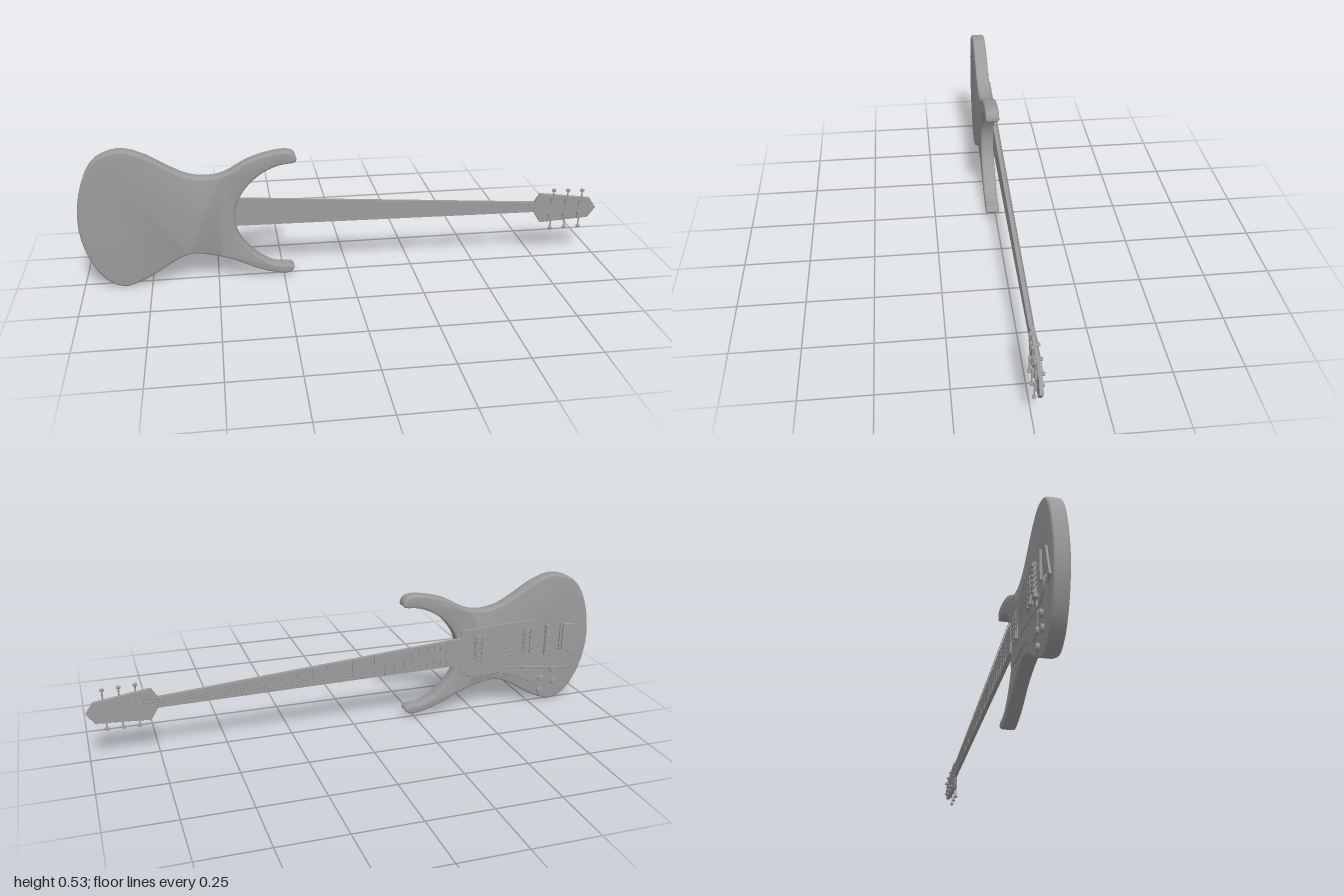
import * as THREE from 'three';
import { toCreasedNormals } from 'three/addons/utils/BufferGeometryUtils.js';

export function createModel() {
  const model = new THREE.Group();
  const grey = new THREE.MeshStandardMaterial({ color: 0x9c9c9c });
  grey.name = 'plain grey';

  const add = (name, geometry, x = 0, y = 0, z = 0, parent = model) => {
    const mesh = new THREE.Mesh(geometry, grey);
    mesh.name = name;
    mesh.position.set(x, y, z);
    parent.add(mesh);
    return mesh;
  };
  const smooth = (pts, n) => new THREE.CatmullRomCurve3(
    pts.map(([x, y]) => new THREE.Vector3(x, y, 0)), true).getPoints(n).slice(0, -1);
  // Slab with the given outline between two depths, its edges rounded inward
  const slab = (pts, z0, z1, bevel = 0, steps = 1) => {
    const shape = new THREE.Shape(pts.map(p => new THREE.Vector2(p.x ?? p[0], p.y ?? p[1])));
    const g = new THREE.ExtrudeGeometry(shape, {
      depth: z1 - z0 - 2 * bevel, bevelEnabled: bevel > 0, bevelSize: bevel,
      bevelThickness: bevel, bevelOffset: -bevel, bevelSegments: steps,
    });
    g.translate(0, 0, z0 + bevel);
    return toCreasedNormals(g, 0.6);
  };
  const rod = (name, a, b, r, sides = 6, parent = model) => {
    const p = new THREE.Vector3(...a), q = new THREE.Vector3(...b);
    const m = add(name, new THREE.CylinderGeometry(r, r, p.distanceTo(q), sides), 0, 0, 0, parent);
    m.position.copy(p).lerp(q, 0.5);
    m.quaternion.setFromUnitVectors(new THREE.Vector3(0, 1, 0), q.sub(p).normalize());
    return m;
  };

  // Body with two horns
  const outline = [
    [-1, .267], [-.97, .43], [-.917, .508], [-.832, .536], [-.75, .513], [-.66, .46],
    [-.596, .428], [-.527, .417], [-.463, .428], [-.377, .474], [-.313, .495], [-.238, .506],
    [-.206, .497], [-.195, .47], [-.203, .462], [-.26, .453], [-.323, .426], [-.382, .374],
    [-.42, .31], [-.43, .24], [-.414, .176], [-.377, .123], [-.323, .075], [-.275, .053],
    [-.222, .048], [-.211, .034], [-.233, .016], [-.286, .021], [-.356, .043], [-.447, .086],
    [-.516, .107], [-.591, .118], [-.644, .102], [-.714, .059], [-.783, .021], [-.853, .001],
    [-.92, .037], [-.976, .134],
  ];
  add('body', slab(smooth(outline, 170), -.013, .04, .008, 3));

  // Pickguard
  add('pickguard', slab([
    [-.435, .345], [-.755, .36], [-.788, .332], [-.8, .2], [-.812, .155], [-.795, .108],
    [-.768, .092], [-.735, .097], [-.68, .124], [-.64, .14], [-.6, .148], [-.55, .146],
    [-.5, .147], [-.46, .153], [-.425, .165], [-.44, .21], [-.445, .25], [-.44, .3],
  ], -.018, -.012, .001));

  // Neck, tapering toward the nut along a slightly sloping axis
  const axis = x => .2587 - .0429 * (x + .42);
  const halfWidth = x => .056 - .0305 * (x + .42);
  const edge = (x, s) => [x, axis(x) + s * halfWidth(x)];
  add('neck', slab([edge(-.45, 1), edge(-.45, -1), edge(.755, -1), edge(.755, 1)], -.019, -.01));
  add('fretboard', slab([edge(-.45, .98), edge(-.45, -.98), edge(.75, -.98), edge(.75, .98)], -.024, -.019));

  // Frets and nut
  const nutX = .742, bridgeX = -.81;
  const frets = new THREE.Group();
  frets.name = 'frets';
  model.add(frets);
  for (let i = 1; i <= 22; i++) {
    const x = bridgeX + (nutX - bridgeX) / 2 ** (i / 12);
    add('fret', new THREE.BoxGeometry(.003, halfWidth(x) * 1.94, .002), x, axis(x), -.0247, frets);
  }
  add('nut', new THREE.BoxGeometry(.008, halfWidth(nutX) * 1.9, .006), nutX, axis(nutX), -.0245);

  // Headstock
  add('headstock', slab([
    [.746, .23], [.767, .265], [.972, .236], [1, .195], [.97, .155], [.773, .143], [.746, .187],
  ], -.021, -.008, .001));

  // Tuners: post on the face, stem and button beside the headstock
  const posts = [];
  for (const side of [-1, 1]) {
    for (let i = 0; i < 3; i++) {
      const tuner = new THREE.Group();
      tuner.name = 'tuner';
      model.add(tuner);
      const x = (side > 0 ? .82 : .815) + .058 * i;
      const py = .2 + side * (.034 - .004 * i) - .003 * i;
      const end = side > 0 ? .28 - .003 * i : .12 + .001 * i;
      rod('tunerPost', [x, py, -.034], [x, py, -.004], .0055, 10, tuner);
      rod('tunerCollar', [x, py, -.024], [x, py, -.02], .009, 12, tuner);
      add('tunerHousing', new THREE.BoxGeometry(.018, .026, .008), x, py, -.004, tuner);
      rod('tunerStem', [x, py, -.002], [x, end, -.002], .003, 8, tuner);
      const button = add('tunerButton', new THREE.SphereGeometry(.009, 12, 8), x, end, -.002, tuner);
      button.scale.set(1, .75, .75);
      posts.push([x, py]);
    }
  }

  // Strings from tailpiece over the bridge to the tuner posts
  const order = [posts[0], posts[1], posts[2], posts[5], posts[4], posts[3]];
  const strings = new THREE.Group();
  strings.name = 'strings';
  model.add(strings);
  for (let i = 0; i < 6; i++) {
    const t = (i - 2.5) / 2.5, r = .0017 - .0001 * i;
    const bridge = [bridgeX, axis(bridgeX) + t * .046, -.035];
    const nut = [nutX, axis(nutX) + t * .015, -.028];
    rod('stringTail', [-.885, bridge[1], -.025], bridge, r, 5, strings);
    rod('string', bridge, nut, r, 5, strings);
    rod('stringHead', nut, [...order[i], -.028], r, 5, strings);
    add('saddle', new THREE.BoxGeometry(.016, .011, .01), bridgeX, bridge[1], -.03, strings);
  }

  // Twin-coil pickups with pole pieces
  for (const px of [-.52, -.73]) {
    const pickup = new THREE.Group();
    pickup.name = 'pickup';
    model.add(pickup);
    const y = axis(px);
    add('pickupBase', new THREE.BoxGeometry(.056, .112, .005), px, y, -.0185, pickup);
    for (const s of [-1, 1]) {
      add('pickupCoil', new THREE.BoxGeometry(.02, .104, .009), px + s * .013, y, -.0225, pickup);
      for (let i = 0; i < 6; i++) {
        const py = y + (i - 2.5) * .0175;
        rod('polePiece', [px + s * .013, py, -.029], [px + s * .013, py, -.025], .004, 8, pickup);
      }
    }
  }

  // Bridge on two posts
  add('bridgeBar', new THREE.BoxGeometry(.022, .126, .01), bridgeX, axis(bridgeX) - .006, -.025);
  for (const s of [-1, 1]) {
    const y = axis(bridgeX) - .006 + s * .056;
    rod('bridgePost', [bridgeX, y, -.032], [bridgeX, y, -.012], .008, 12);
  }

  // Tailpiece plate and string anchor
  add('tailpiece', slab([
    [-.87, .33], [-.93, .322], [-.968, .2], [-.935, .185], [-.9, .215], [-.87, .22],
  ], -.02, -.012, .001));
  add('stringAnchor', new THREE.BoxGeometry(.014, .105, .01), -.885, axis(-.885) - .002, -.023);

  // Tremolo arm
  const arm = new THREE.CatmullRomCurve3([
    [-.935, .215, -.018], [-.945, .2, -.028], [-.94, .17, -.03], [-.91, .145, -.03],
    [-.87, .143, -.03], [-.78, .157, -.03], [-.64, .172, -.031],
  ].map(p => new THREE.Vector3(...p)));
  add('tremoloArm', new THREE.TubeGeometry(arm, 32, .0035, 8));
  add('tremoloTip', new THREE.SphereGeometry(.0055, 10, 8), -.64, .172, -.031);

  // Control knobs
  const profile = [[0, 0], [.014, 0], [.014, .008], [.012, .011], [0, .012]]
    .map(([x, y]) => new THREE.Vector2(x, y));
  for (const [x, y] of [[-.799, .045], [-.859, .078], [-.799, .1], [-.852, .132]]) {
    const knob = add('knob', toCreasedNormals(new THREE.LatheGeometry(profile, 20), .5), x, y, -.0125);
    knob.rotation.x = -Math.PI / 2;
  }

  return model;
}
